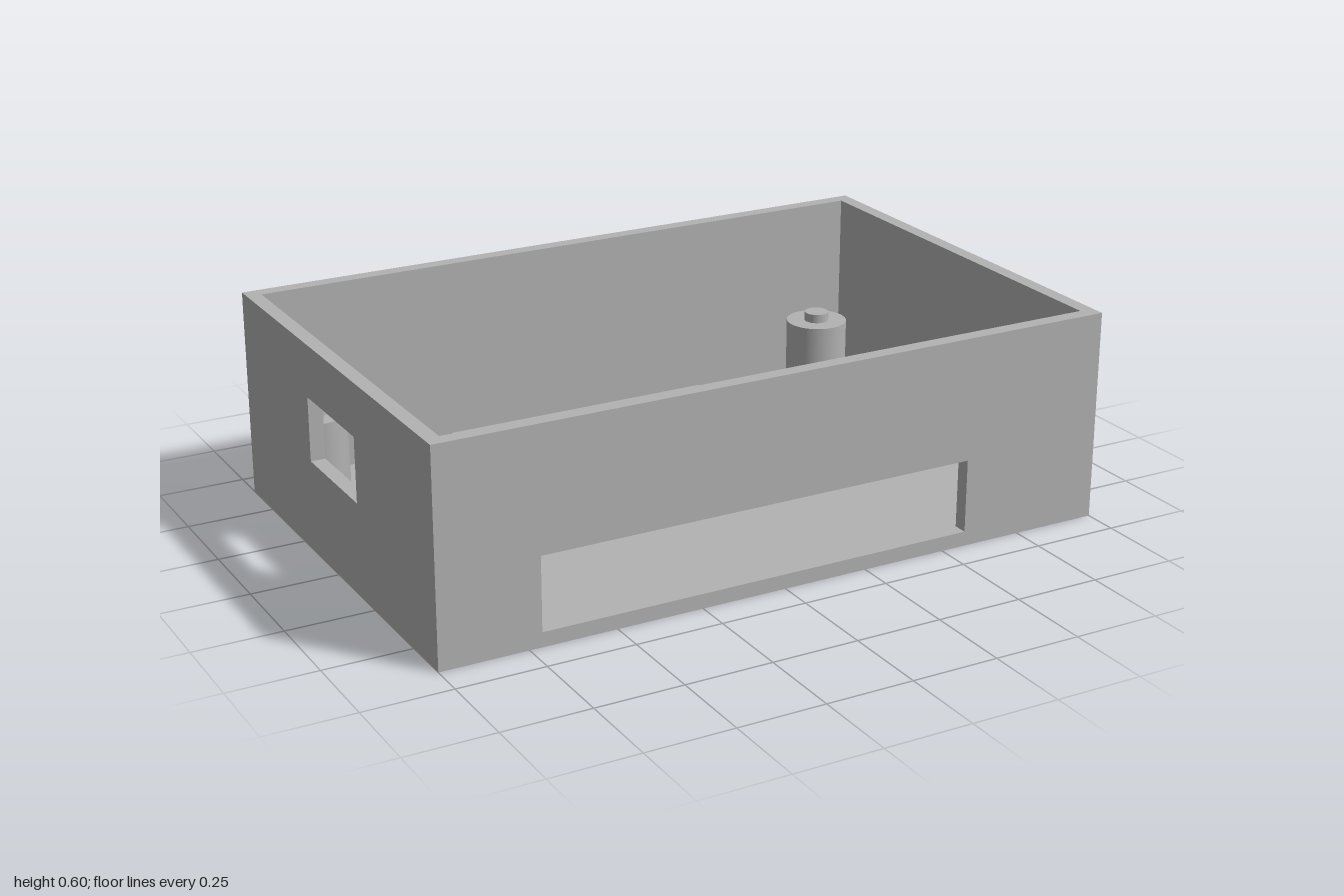
import * as THREE from 'three';

const HEIGHT = 0.604, HALF_X = 1, HALF_Z = 0.65, WALL = 0.042;

export function createModel() {
  const model = new THREE.Group();
  const grey = new THREE.MeshStandardMaterial({ color: 0xb2b2b2 });
  grey.name = 'grey plastic';

  const add = (name, geometry, x = 0, y = 0, z = 0) => {
    const mesh = new THREE.Mesh(geometry, grey);
    mesh.name = name;
    mesh.position.set(x, y, z);
    model.add(mesh);
    return mesh;
  };

  const rect = (Type, x0, x1, y0, y1) => {
    const r = new Type();
    r.moveTo(x0, y0);
    r.lineTo(x1, y0);
    r.lineTo(x1, y1);
    r.lineTo(x0, y1);
    r.closePath();
    return r;
  };

  // Upright wall panel, optionally pierced by one opening
  const panel = (half, hole) => {
    const shape = rect(THREE.Shape, -half, half, 0, HEIGHT);
    if (hole) shape.holes.push(hole);
    return new THREE.ExtrudeGeometry(shape, { depth: WALL, bevelEnabled: false, curveSegments: 48 });
  };

  // Front wall with the long slot, plain back wall
  const slot = rect(THREE.Path, -0.714, 0.572, WALL, 0.252);
  add('frontWall', panel(HALF_X, slot), 0, 0, HALF_Z - WALL);
  add('backWall', panel(HALF_X), 0, 0, -HALF_Z);

  // Side walls fit between front and back; panel x becomes world z
  const roundHole = new THREE.Path();
  roundHole.absarc(0.28, 0.206, 0.131, 0, Math.PI * 2, true);
  const window = rect(THREE.Path, -0.17, 0.155, 0.266, 0.451);
  const inner = HALF_Z - WALL;
  add('leftWall', panel(inner, roundHole).rotateY(-Math.PI / 2), HALF_X, 0, 0);
  add('rightWall', panel(inner, window).rotateY(-Math.PI / 2), -HALF_X + WALL, 0, 0);

  // Floor
  add('floor', new THREE.BoxGeometry(2 * (HALF_X - WALL), WALL, 2 * inner), 0, WALL / 2, 0);

  // Corner posts with a small locating pin on top
  const postTop = 0.265, pinTop = 0.292;
  const profile = [[0.0925, WALL], [0.0925, postTop], [0.037, postTop], [0.037, pinTop], [0, pinTop]];
  // Each profile segment is lathed separately to keep its edges sharp
  for (const x of [-0.857, 0.812]) {
    for (const z of [-0.507, 0.501]) {
      const post = new THREE.Group();
      post.name = 'cornerPost';
      post.position.set(x, 0, z);
      for (let i = 0; i < profile.length - 1; i++) {
        const points = [profile[i], profile[i + 1]].map(p => new THREE.Vector2(...p));
        const part = new THREE.Mesh(new THREE.LatheGeometry(points, 48), grey);
        part.name = ['postSide', 'postTop', 'pinSide', 'pinTop'][i];
        post.add(part);
      }
      model.add(post);
    }
  }

  // Low ribs that locate the board: name, x range, z range
  const ribTop = 0.234;
  const ribs = [
    ['backRib', -0.551, 0.242, -0.251, -0.209],
    ['rightRib', -0.755, -0.713, -0.15, 0.382],
    ['leftRib', 0.567, 0.609, -0.15, 0.167],
  ];
  for (const [name, x0, x1, z0, z1] of ribs) {
    add(name, new THREE.BoxGeometry(x1 - x0, ribTop - WALL, z1 - z0),
      (x0 + x1) / 2, (ribTop + WALL) / 2, (z0 + z1) / 2);
  }

  return model;
}
